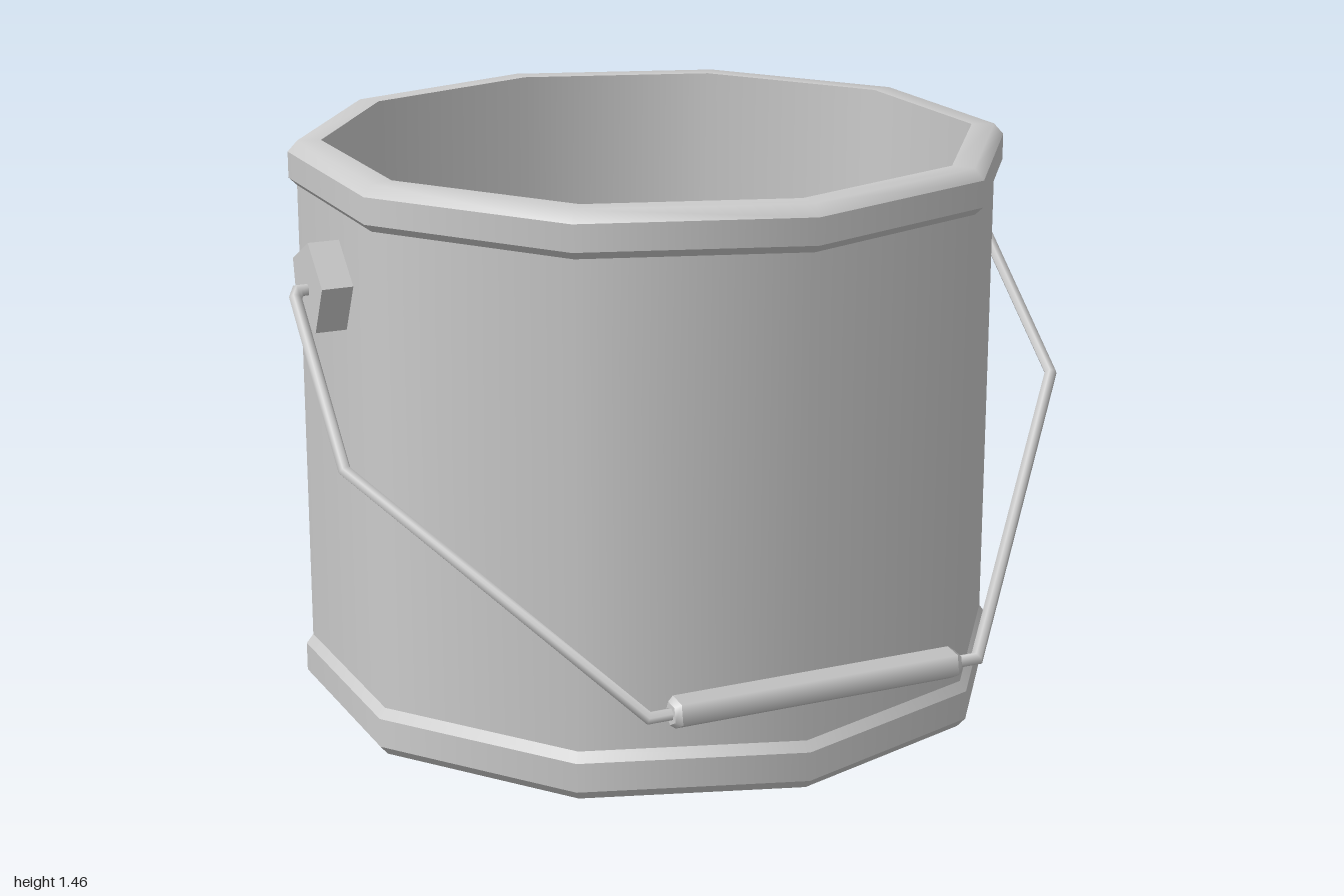
import * as THREE from 'three';
import { mergeGeometries } from 'three/addons/utils/BufferGeometryUtils.js';

const SIDES = 10;
const grey = new THREE.MeshStandardMaterial({ color: 0xcccccc });
const faceted = new THREE.MeshStandardMaterial({ color: 0xcccccc, flatShading: true });

function add(parent, name, geometry, material = grey) {
  const mesh = new THREE.Mesh(geometry, material);
  mesh.name = name;
  parent.add(mesh);
  return mesh;
}

// Each strip is smooth in itself; edges between strips stay sharp.
function turned(strips, sides = SIDES) {
  return mergeGeometries(strips.map((strip) =>
    new THREE.LatheGeometry(strip.map(([r, y]) => new THREE.Vector2(r, y)), sides)));
}

// Sweeps a round section along a flat path in the xy plane, with mitred corners.
function mitredWire(path, radius, sides) {
  const points = path.map(([x, y]) => new THREE.Vector2(x, y));
  const position = [], index = [];
  points.forEach((p, i) => {
    const before = p.clone().sub(points[Math.max(i - 1, 0)]).normalize();
    const after = points[Math.min(i + 1, points.length - 1)].clone().sub(p).normalize();
    const t = before.clone().add(after).normalize();
    const reference = before.lengthSq() > 0 ? before : after;
    const stretch = 1 / t.dot(reference);
    for (let s = 0; s < sides; s++) {
      const a = (s / sides) * Math.PI * 2;
      const w = Math.cos(a) * radius * stretch;
      position.push(p.x - t.y * w, p.y + t.x * w, Math.sin(a) * radius);
      if (i > 0) {
        const n = (s + 1) % sides, a0 = (i - 1) * sides, b0 = i * sides;
        index.push(a0 + s, a0 + n, b0 + s, a0 + n, b0 + n, b0 + s);
      }
    }
  });
  const geometry = new THREE.BufferGeometry();
  geometry.setAttribute('position', new THREE.Float32BufferAttribute(position, 3));
  geometry.setIndex(index);
  geometry.computeVertexNormals();
  return geometry;
}

export function createModel() {
  const model = new THREE.Group();
  model.name = 'bucket';

  // Ten-sided pail, set slightly back to leave room for the handle
  const pail = new THREE.Group();
  pail.name = 'pail';
  pail.position.z = -0.035;
  model.add(pail);
  add(pail, 'outerWall', turned([[[0.904, 0.12], [0.904, 1.35]]]));
  add(pail, 'innerWall', turned([[[0.84, 1.46], [0.84, 0.04]]]));
  add(pail, 'floor', turned([[[0.84, 0.04], [0, 0.04]]]));
  add(pail, 'topRim', turned([
    [[0.904, 1.345], [0.925, 1.365]],
    [[0.925, 1.365], [0.925, 1.432]],
    [[0.925, 1.432], [0.9, 1.46], [0.84, 1.46]],
  ]));
  add(pail, 'bottomRim', turned([
    [[0.9, 0], [0.922, 0.025]],
    [[0.922, 0.025], [0.922, 0.1]],
    [[0.922, 0.1], [0.904, 0.125]],
  ]));
  add(pail, 'underside', turned([[[0, 0], [0.9, 0]]]));

  // Five-sided lugs that hold the handle ends
  for (const side of [1, -1]) {
    const corners = Array.from({ length: 5 }, (_, i) => {
      const a = THREE.MathUtils.degToRad(10 + i * 72);
      return new THREE.Vector2(-Math.cos(a) * 0.117, Math.sin(a) * 0.117);
    });
    const geometry = new THREE.ExtrudeGeometry(new THREE.Shape(corners), { depth: 0.09, bevelEnabled: false });
    geometry.rotateY(Math.PI / 2);
    const lug = add(model, side > 0 ? 'leftLug' : 'rightLug', geometry, faceted);
    lug.position.set(side > 0 ? 0.85 : -0.94, 1.156, -0.015);
  }

  // Wire handle, swung forward and down about the lugs
  const handle = new THREE.Group();
  handle.name = 'handle';
  handle.position.set(0, 1.15, -0.015);
  handle.rotation.x = -0.819;
  model.add(handle);
  const half = [[0.92, 0], [0.963, 0], [0.975, -0.02], [0.985, -0.512], [0.445, -1.273]];
  const path = [...half, ...half.map(([x, y]) => [-x, y]).reverse()];
  add(handle, 'wire', mitredWire(path, 0.016, 6));

  // Grip with chamfered ends
  const grip = add(handle, 'grip', turned([
    [[0, -0.388], [0.03, -0.388]],
    [[0.03, -0.388], [0.042, -0.373]],
    [[0.042, -0.373], [0.042, 0.373]],
    [[0.042, 0.373], [0.03, 0.388]],
    [[0.03, 0.388], [0, 0.388]],
  ], 5));
  grip.rotation.z = Math.PI / 2;
  grip.position.y = -1.273;

  return model;
}
